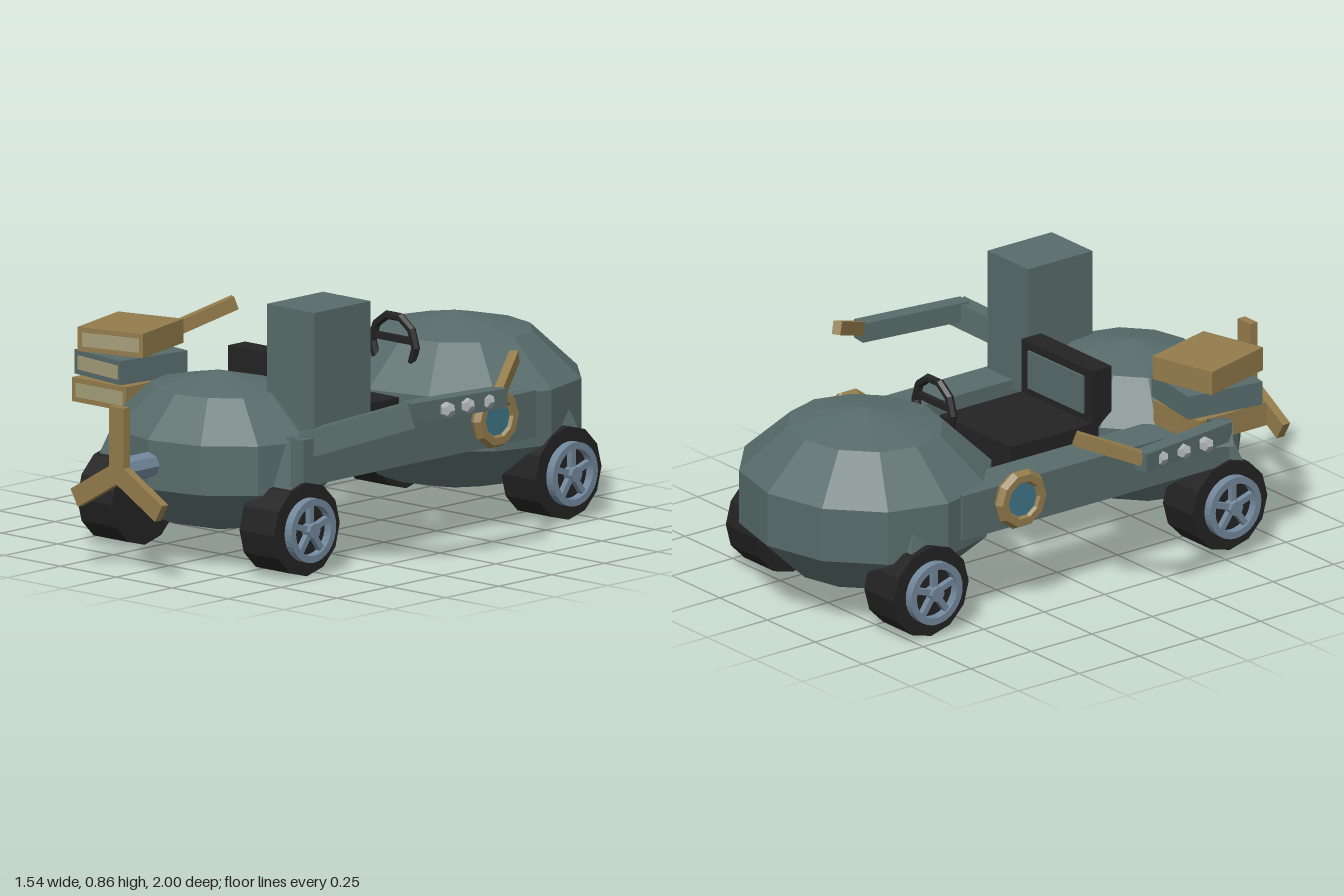
import * as THREE from 'three';

const mat = (name, color) => {
  const m = new THREE.MeshStandardMaterial({ color, flatShading: true });
  m.name = name;
  return m;
};

export function createModel() {
  const root = new THREE.Group();
  root.name = 'buggy';
  const body = mat('slateBody', 0x576b6a);
  const gold = mat('brass', 0x937c4c);
  const black = mat('black', 0x232323);
  const steel = mat('blueSteel', 0x71879a);
  const cream = mat('pages', 0xa59d79);
  const silver = mat('silver', 0xa9aeb1);
  const lens = mat('lens', 0x3f7486);

  const add = (name, geo, m, x = 0, y = 0, z = 0, parent = root) => {
    const mesh = new THREE.Mesh(geo, m);
    mesh.name = name;
    mesh.position.set(x, y, z);
    parent.add(mesh);
    return mesh;
  };
  const box = (name, w, h, d, m, x, y, z, parent) =>
    add(name, new THREE.BoxGeometry(w, h, d), m, x, y, z, parent);
  const group = (name, x, y, z, parent = root) => {
    const g = new THREE.Group();
    g.name = name;
    g.position.set(x, y, z);
    parent.add(g);
    return g;
  };
  // Square bar running between two points
  const bar = (name, a, b, w, h, m) => {
    const p = new THREE.Vector3(...a), q = new THREE.Vector3(...b);
    const mesh = box(name, w, h, p.distanceTo(q), m, 0, 0, 0);
    mesh.position.copy(p).add(q).multiplyScalar(0.5);
    mesh.lookAt(q);
    return mesh;
  };

  // Two faceted body pods
  const pod = (name, rx, ry, rz, z) =>
    add(name, new THREE.SphereGeometry(1, 12, 5), body, 0, 0.35, z).scale.set(rx, ry, rz);
  pod('rearPod', 0.457, 0.295, 0.426, -0.595);
  pod('frontPod', 0.405, 0.265, 0.352, 0.515);

  // Wheel with ring, five spokes and hub; built along +x
  const wheel = (side, z) => {
    const g = group('wheel', side * 0.363, 0.155, z);
    g.rotation.y = side > 0 ? 0 : Math.PI;
    add('tyre', new THREE.CylinderGeometry(0.155, 0.155, 0.155, 12).rotateZ(Math.PI / 2), black, 0, 0, 0, g);
    const ring = new THREE.Shape().absarc(0, 0, 0.106, 0, Math.PI * 2);
    ring.holes.push(new THREE.Path().absarc(0, 0, 0.083, 0, Math.PI * 2, true));
    const ringGeo = new THREE.ExtrudeGeometry(ring, { depth: 0.03, bevelEnabled: false, curveSegments: 16 });
    add('rim', ringGeo.rotateY(Math.PI / 2), steel, 0.078, 0, 0, g);
    for (let i = 0; i < 5; i++) {
      const spoke = new THREE.BoxGeometry(0.02, 0.09, 0.02).translate(0, 0.045, 0);
      add('spoke', spoke, steel, 0.09, 0, 0, g).rotation.x = (i * Math.PI * 2) / 5;
    }
    add('hub', new THREE.CylinderGeometry(0.026, 0.026, 0.04, 8).rotateZ(Math.PI / 2), steel, 0.095, 0, 0, g);
  };

  for (const s of [1, -1]) {
    wheel(s, 0.565);
    wheel(s, -0.67);
    // Side rail and pointed wheel struts
    box('sideRail', 0.145, 0.155, 1.1, body, s * 0.357, 0.372, 0.02);
    for (const [z, y] of [[0.575, 0.36], [-0.69, 0.335]])
      add('wheelStrut', new THREE.ConeGeometry(0.09, 0.2, 4).rotateY(Math.PI / 4), body, s * 0.375, y, z);

    // Round side lamp
    const lamp = group('sideLamp', s * 0.452, 0.395, -0.31);
    lamp.rotation.y = s * Math.PI / 2;
    add('lampRing', new THREE.TorusGeometry(0.078, 0.025, 6, 10), gold, 0, 0, 0, lamp);
    add('lampGlass', new THREE.CylinderGeometry(0.064, 0.064, 0.02, 12).rotateX(Math.PI / 2), lens, 0, 0, 0, lamp);

    // Jointed arm with studs and a brass tip
    bar('upperArm', [s * 0.38, 0.42, 0.515], [s * 0.7, 0.54, 0.335], 0.06, 0.085, body);
    bar('foreArm', [s * 0.685, 0.547, 0.355], [s * 0.74, 0.547, -0.04], 0.055, 0.065, body);
    bar('armTip', [s * 0.735, 0.555, -0.03], [s * 0.625, 0.637, -0.22], 0.03, 0.045, gold);
    for (const z of [0.225, 0.132, 0.038])
      add('armStud', new THREE.DodecahedronGeometry(0.027), silver, s * 0.747, 0.545, z);
  }

  // Seat with inset back panel, facing the steering wheel
  box('seatBase', 0.37, 0.1, 0.4, black, 0, 0.4, 0.06);
  box('seatBack', 0.37, 0.25, 0.08, black, 0, 0.508, 0.237);
  box('seatPanel', 0.29, 0.13, 0.008, body, 0, 0.54, 0.193);

  // Steering wheel
  const steering = group('steeringWheel', 0, 0.575, -0.31);
  add('steeringRing', new THREE.TorusGeometry(0.097, 0.015, 6, 10), black, 0, 0, 0, steering);
  box('steeringSpoke', 0.19, 0.022, 0.018, black, 0, 0.02, 0, steering);

  // Propeller on its shaft
  add('propellerShaft', new THREE.CylinderGeometry(0.043, 0.043, 0.2, 8).rotateX(Math.PI / 2), steel, 0, 0.35, 0.87);
  const propeller = group('propeller', 0, 0.345, 0.985);
  for (let i = 0; i < 3; i++) {
    const blade = new THREE.BoxGeometry(0.065, 0.218, 0.03).translate(0, 0.109, 0);
    add('blade', blade, gold, 0, 0, 0, propeller).rotation.z = (i * Math.PI * 2) / 3;
  }

  // Tall storage box
  box('tallBox', 0.213, 0.44, 0.265, body, 0.308, 0.64, 0.37);

  // Stack of three books, each turned a little
  const books = [[-0.424, 0.49, 0.495, 0, gold], [-0.422, 0.575, 0.485, -0.15, body], [-0.423, 0.665, 0.487, 0.265, gold]];
  for (const [x, y, z, turn, cover] of books) {
    const book = group('book', x, y, z);
    book.rotation.y = turn;
    box('cover', 0.241, 0.08, 0.278, cover, 0, 0, 0, book);
    box('pageEdge', 0.21, 0.046, 0.006, cream, 0.003, 0, 0.139, book);
  }
  return root;
}
